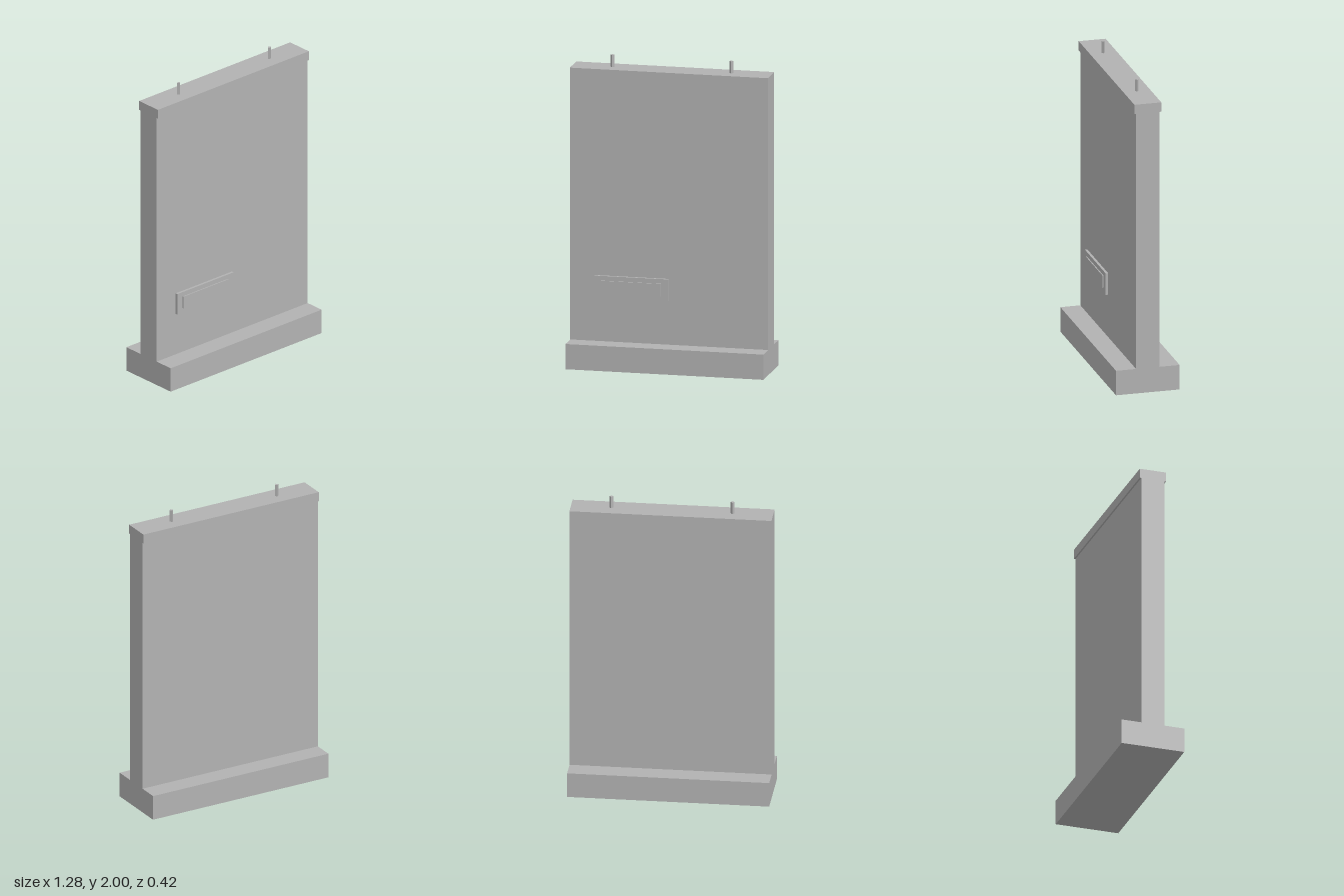
import * as THREE from 'three';

export function createModel() {
  const model = new THREE.Group();
  const concrete = new THREE.MeshStandardMaterial({ color: 0xb2b2b2, flatShading: true });
  concrete.name = 'concrete grey';

  const add = (name, geometry, x, y, z) => {
    const mesh = new THREE.Mesh(geometry, concrete);
    mesh.name = name;
    mesh.position.set(x, y, z);
    model.add(mesh);
  };

  // Box given by its extents on each axis
  const block = (name, [x0, x1], [y0, y1], [z0, z1]) =>
    add(name, new THREE.BoxGeometry(x1 - x0, y1 - y0, z1 - z0),
      (x0 + x1) / 2, (y0 + y1) / 2, (z0 + z1) / 2);

  // Wall slab with wide footing and slightly overhanging cap
  const width = [-0.64, 0.64];
  block('footing', width, [0, 0.163], [-0.208, 0.208]);
  block('wallSlab', width, [0.163, 1.86], [-0.077, 0.077]);
  block('cap', width, [1.86, 1.922], [-0.088, 0.088]);

  // Stepped plate on the front face
  block('plate', [-0.48, -0.002], [0.445, 0.588], [0.077, 0.093]);
  block('raisedPanel', [-0.435, -0.05], [0.477, 0.558], [0.093, 0.1]);

  // Four-sided pins on top of the cap
  for (const side of [-1, 1]) {
    add(side > 0 ? 'leftPin' : 'rightPin',
      new THREE.CylinderGeometry(0.0125, 0.0125, 0.078, 4), side * 0.384, 1.961, 0);
  }

  return model;
}
